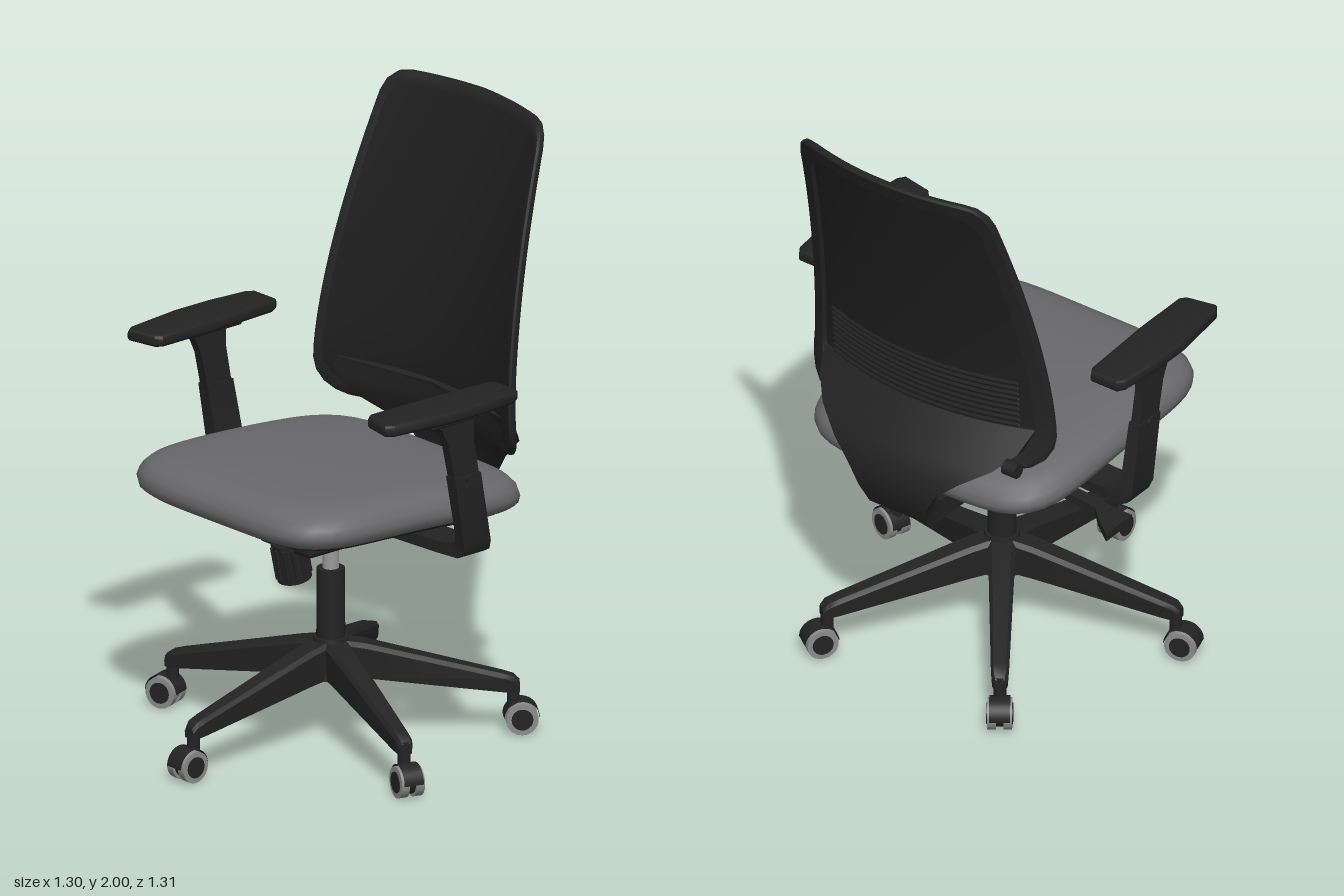
import * as THREE from 'three';
import { toCreasedNormals } from 'three/addons/utils/BufferGeometryUtils.js';
import { RoundedBoxGeometry } from 'three/addons/geometries/RoundedBoxGeometry.js';

const mat = (name, color, side = THREE.FrontSide) => {
  const m = new THREE.MeshStandardMaterial({ color, side });
  m.name = name;
  return m;
};
const black = mat('black plastic', 0x232323, THREE.DoubleSide);
const meshBlack = mat('back mesh', 0x1f1f1f);
const grey = mat('seat fabric', 0x69696b);
const tyreGrey = mat('tyre grey', 0x8c8c8c);
const steel = mat('steel', 0x9a9a9a);

const V = (x, y, z) => new THREE.Vector3(x, y, z);

function add(parent, name, geo, material, x = 0, y = 0, z = 0) {
  const m = new THREE.Mesh(geo, material);
  m.name = name;
  m.position.set(x, y, z);
  parent.add(m);
  return m;
}

// Skin over a stack of rings with equal point counts, turned outward by its signed volume
function loft(rings, caps = true, crease = 0.6) {
  const n = rings[0].length, tris = [];
  for (let i = 0; i + 1 < rings.length; i++) {
    for (let j = 0; j < n; j++) {
      const k = (j + 1) % n, a = rings[i], b = rings[i + 1];
      tris.push([a[j], a[k], b[k]], [a[j], b[k], b[j]]);
    }
  }
  if (caps) {
    [rings[0], rings[rings.length - 1]].forEach((r, end) => {
      const c = r.reduce((s, p) => s.add(p), V(0, 0, 0)).divideScalar(n);
      for (let j = 0; j < n; j++) {
        const k = (j + 1) % n;
        tris.push(end ? [c, r[j], r[k]] : [c, r[k], r[j]]);
      }
    });
  }
  let volume = 0;
  for (const [a, b, c] of tris) volume += a.dot(V(0, 0, 0).crossVectors(b, c));
  const pts = tris.flatMap(([a, b, c]) => (volume < 0 ? [a, c, b] : [a, b, c]));
  return toCreasedNormals(new THREE.BufferGeometry().setFromPoints(pts), crease);
}

// Curved surface of the backrest
const backZ = (x, y) => {
  const d = y - 1.1;
  return (d > 0 ? -0.44 - 0.22 * d ** 1.65 : -0.44 - 1.1 * d * d) + 0.5 * x * x;
};

function backrest(g) {
  const half = new THREE.Path();
  half.moveTo(0, 0.935);
  half.lineTo(0.37, 0.942);
  half.quadraticCurveTo(0.462, 0.955, 0.468, 1.05);
  half.bezierCurveTo(0.45, 1.35, 0.41, 1.65, 0.378, 1.9);
  half.quadraticCurveTo(0.37, 1.992, 0.3, 1.995);
  half.lineTo(0, 2);
  const h = half.getSpacedPoints(44);
  const outline = [...h, ...h.slice(1, -1).reverse().map(p => new THREE.Vector2(-p.x, p.y))];
  const ring = ([s, d]) => outline.map(p => {
    const x = p.x * s, y = 1.47 + (p.y - 1.47) * s;
    return V(x, y, backZ(x, y) + d);
  });
  const steps = [0.02, 0.15, 0.3, 0.45, 0.6, 0.75, 0.87, 0.95];
  const sheet = [...steps.map(s => [s, 0]), ...[...steps].reverse().map(s => [s, -0.012])];
  add(g, 'backMesh', loft(sheet.map(ring)), meshBlack);
  const rim = [[0.93, 0.001], [0.985, 0], [1, -0.008], [1, -0.022], [0.985, -0.03],
    [0.89, -0.03], [0.875, -0.014], [0.93, 0.001]];
  add(g, 'backFrame', loft(rim.map(ring), false), black);

  // Ribbed lumbar band
  for (let i = 0; i < 9; i++) {
    const y = 1.09 + i * 0.02, pts = [];
    for (let j = -6; j <= 6; j++) pts.push(V(j * 0.06, y, backZ(j * 0.06, y) - 0.018));
    add(g, 'lumbarRib', new THREE.TubeGeometry(new THREE.CatmullRomCurve3(pts), 18, 0.007, 5), black);
  }

  // Spine: [inner z, y, outer z, y, half width, bow]
  const spine = [
    [-0.442, 1.08, -0.462, 1.08, 0.41, 0.5], [-0.445, 1.01, -0.51, 1.01, 0.385, 0.5],
    [-0.455, 0.955, -0.55, 0.955, 0.33, 0.5], [-0.488, 0.9, -0.585, 0.9, 0.24, 0.5],
    [-0.505, 0.85, -0.59, 0.84, 0.17, 0.4], [-0.508, 0.8, -0.58, 0.77, 0.13, 0.2],
    [-0.495, 0.76, -0.545, 0.7, 0.11, 0], [-0.45, 0.735, -0.47, 0.662, 0.1, 0],
    [-0.3, 0.725, -0.3, 0.66, 0.1, 0], [-0.05, 0.725, -0.05, 0.665, 0.1, 0]];
  const row = (z, y, w, bow, dir) => Array.from({ length: 13 }, (_, i) => {
    const x = dir * w * (i / 6 - 1);
    return V(x, y, z + bow * x * x);
  });
  add(g, 'backSpine', loft(spine.map(([zi, yi, zo, yo, w, b]) =>
    [...row(zi, yi, w, b, 1), ...row(zo, yo, w, b, -1)])), black);
  const knob = add(g, 'lumbarKnob', new THREE.CylinderGeometry(0.025, 0.025, 0.05, 16), black, -0.4, 0.99, -0.485);
  knob.rotation.z = Math.PI / 2;
}

function seat(g) {
  // Rounded-square ring, tilted slightly down to the rear
  const ring = ([s, dy]) => Array.from({ length: 72 }, (_, i) => {
    const t = i / 72 * Math.PI * 2, c = Math.cos(t), d = Math.sin(t);
    const r = (Math.abs(c) ** 5 + Math.abs(d) ** 5) ** -0.2;
    const x = 0.48 * s * r * c, z = 0.495 * s * r * d;
    return V(x, 0.85 + 0.06 * z + dy - 0.08 * z * z, z + 0.01);
  });
  const cushion = [[0.02, 0.087], [0.4, 0.085], [0.7, 0.08], [0.86, 0.071], [0.94, 0.056], [0.985, 0.032],
    [1, 0.006], [0.99, -0.018], [0.95, -0.035], [0.85, -0.045], [0.02, -0.045]];
  add(g, 'seatCushion', loft(cushion.map(ring), true, 1), grey);
  const pan = [[0.02, -0.03], [0.93, -0.03], [0.91, -0.046], [0.84, -0.06], [0.78, -0.075], [0.72, -0.08],
    [0.55, -0.083], [0.52, -0.095], [0.02, -0.095]];
  add(g, 'seatPan', loft(pan.map(ring)), black);
}

function mechanism(g) {
  add(g, 'tiltHousing', new RoundedBoxGeometry(0.25, 0.09, 0.4, 2, 0.02), black, 0, 0.71, 0);
  add(g, 'mountingPlate', new RoundedBoxGeometry(0.36, 0.035, 0.3, 2, 0.01), black, 0, 0.735, 0);
  for (const x of [-0.045, 0.045]) for (const z of [-0.24, -0.3]) {
    add(g, 'bolt', new THREE.CylinderGeometry(0.016, 0.016, 0.02, 12), steel, x, 0.656, z);
  }

  // Tension knob with grip ridges
  const knob = new THREE.Group();
  knob.name = 'tensionKnob';
  knob.position.set(0, 0.63, 0.165);
  knob.rotation.x = 0.22;
  add(knob, 'knobBody', new THREE.CylinderGeometry(0.05, 0.055, 0.13, 24), black);
  add(knob, 'knobStem', new THREE.CylinderGeometry(0.025, 0.025, 0.1, 16), black, 0, 0.09, 0);
  for (let i = 0; i < 12; i++) {
    const a = i * Math.PI / 6;
    add(knob, 'knobRidge', new THREE.CylinderGeometry(0.007, 0.007, 0.11, 6), black,
      0.053 * Math.cos(a), 0, 0.053 * Math.sin(a));
  }
  g.add(knob);

  // Height lever
  const rod = new THREE.CatmullRomCurve3([V(-0.1, 0.71, -0.03), V(-0.135, 0.69, -0.03),
    V(-0.175, 0.63, -0.03), V(-0.23, 0.618, -0.035)]);
  add(g, 'leverRod', new THREE.TubeGeometry(rod, 16, 0.01, 8), black);
  const grip = [[-0.21, -0.035, 0.02, 0.625], [-0.42, -0.055, 0.022, 0.62], [-0.46, -0.075, 0.04, 0.616],
    [-0.53, -0.1, 0.068, 0.612]];
  add(g, 'leverGrip', loft(grip.map(([x, z, w, y]) =>
    [V(x, y + 0.014, z - w), V(x, y + 0.014, z + w), V(x, y - 0.014, z + w), V(x, y - 0.014, z - w)])), black);

  add(g, 'gasPiston', new THREE.CylinderGeometry(0.026, 0.026, 0.16, 24), steel, 0, 0.61, 0);
  add(g, 'column', new THREE.CylinderGeometry(0.044, 0.046, 0.28, 32), black, 0, 0.425, 0);
}

function armrest(g, side) {
  const arm = new THREE.Group();
  arm.name = side > 0 ? 'leftArmrest' : 'rightArmrest';
  // Bars: [inner x, y, outer x, y, centre z, half depth]
  const bar = list => loft(list.map(([xi, yi, xo, yo, z, h]) => [
    V(side * xi, yi, z - h), V(side * xi, yi, z + h), V(side * xo, yo, z + h), V(side * xo, yo, z - h)]));
  add(arm, 'armBracket', bar([
    [0.15, 0.775, 0.15, 0.735, -0.06, 0.06], [0.46, 0.772, 0.48, 0.735, -0.08, 0.058],
    [0.535, 0.778, 0.565, 0.737, -0.083, 0.055], [0.553, 0.79, 0.592, 0.752, -0.083, 0.055],
    [0.56, 0.82, 0.605, 0.785, -0.077, 0.055], [0.562, 1.02, 0.605, 1.02, -0.037, 0.054]]), black);
  add(arm, 'armSlider', bar([
    [0.567, 1, 0.6, 1, -0.04, 0.05], [0.567, 1.13, 0.6, 1.13, -0.014, 0.052],
    [0.567, 1.19, 0.6, 1.19, 0, 0.065], [0.567, 1.225, 0.6, 1.225, 0.01, 0.1]]), black);
  const button = add(arm, 'heightButton', new THREE.CylinderGeometry(0.012, 0.012, 0.014, 16), black,
    side * 0.606, 1.01, -0.04);
  button.rotation.z = Math.PI / 2;
  add(arm, 'padMount', new RoundedBoxGeometry(0.09, 0.025, 0.22, 2, 0.008), black, side * 0.572, 1.218, 0.01);
  const outline = [[0.525, -0.22], [0.612, -0.22], [0.625, -0.2], [0.638, -0.06], [0.638, 0.08], [0.613, 0.28],
    [0.6, 0.298], [0.51, 0.28], [0.498, 0.265], [0.498, 0.08], [0.513, -0.2]];
  const shape = new THREE.Shape(outline.map(([x, z]) => new THREE.Vector2(side * x, z)));
  const pad = new THREE.ExtrudeGeometry(shape, {
    depth: 0.016, bevelThickness: 0.012, bevelSize: 0.012, bevelSegments: 3 });
  pad.rotateX(Math.PI / 2);
  add(arm, 'armPad', toCreasedNormals(pad, 0.6), black, 0, 1.254, 0);
  g.add(arm);
}

function base(g) {
  add(g, 'hub', new THREE.CylinderGeometry(0.055, 0.075, 0.13, 32), black, 0, 0.275, 0);
  // Leg sections: [distance, top, bottom, half width]
  const sections = [[0.02, 0.335, 0.215, 0.045], [0.11, 0.318, 0.205, 0.042], [0.54, 0.2, 0.14, 0.029],
    [0.575, 0.188, 0.136, 0.027], [0.592, 0.17, 0.136, 0.02]];
  const legGeo = loft(sections.map(([r, t, b, w]) => [V(-w * 0.7, t, r), V(w * 0.7, t, r),
    V(w, t - 0.014, r), V(w * 0.9, b, r), V(-w * 0.9, b, r), V(-w, t - 0.014, r)]));
  const disc = (r, w) => new THREE.CylinderGeometry(r, r, w, 28).rotateZ(Math.PI / 2);
  const hood = new THREE.CylinderGeometry(0.056, 0.056, 0.066, 24, 1, true, 0, Math.PI)
    .rotateZ(Math.PI / 2);
  for (let i = 0; i < 5; i++) {
    const leg = new THREE.Group();
    leg.name = 'baseLeg';
    leg.rotation.y = i * Math.PI * 2 / 5;
    add(leg, 'leg', legGeo, black);
    add(leg, 'casterStem', new THREE.CylinderGeometry(0.02, 0.02, 0.09, 16), black, 0, 0.13, 0.573);
    add(leg, 'casterHood', hood, black, 0, 0.052, 0.598);
    add(leg, 'casterBody', disc(0.042, 0.03), black, 0, 0.052, 0.598);
    for (const s of [-1, 1]) {
      add(leg, 'casterWheel', disc(0.051, 0.027), tyreGrey, s * 0.0255, 0.051, 0.598);
      add(leg, 'wheelCap', disc(0.034, 0.006), black, s * 0.039, 0.051, 0.598);
    }
    g.add(leg);
  }
}

export function createModel() {
  const g = new THREE.Group();
  g.name = 'officeChair';
  backrest(g);
  seat(g);
  mechanism(g);
  armrest(g, 1);
  armrest(g, -1);
  base(g);
  return g;
}
